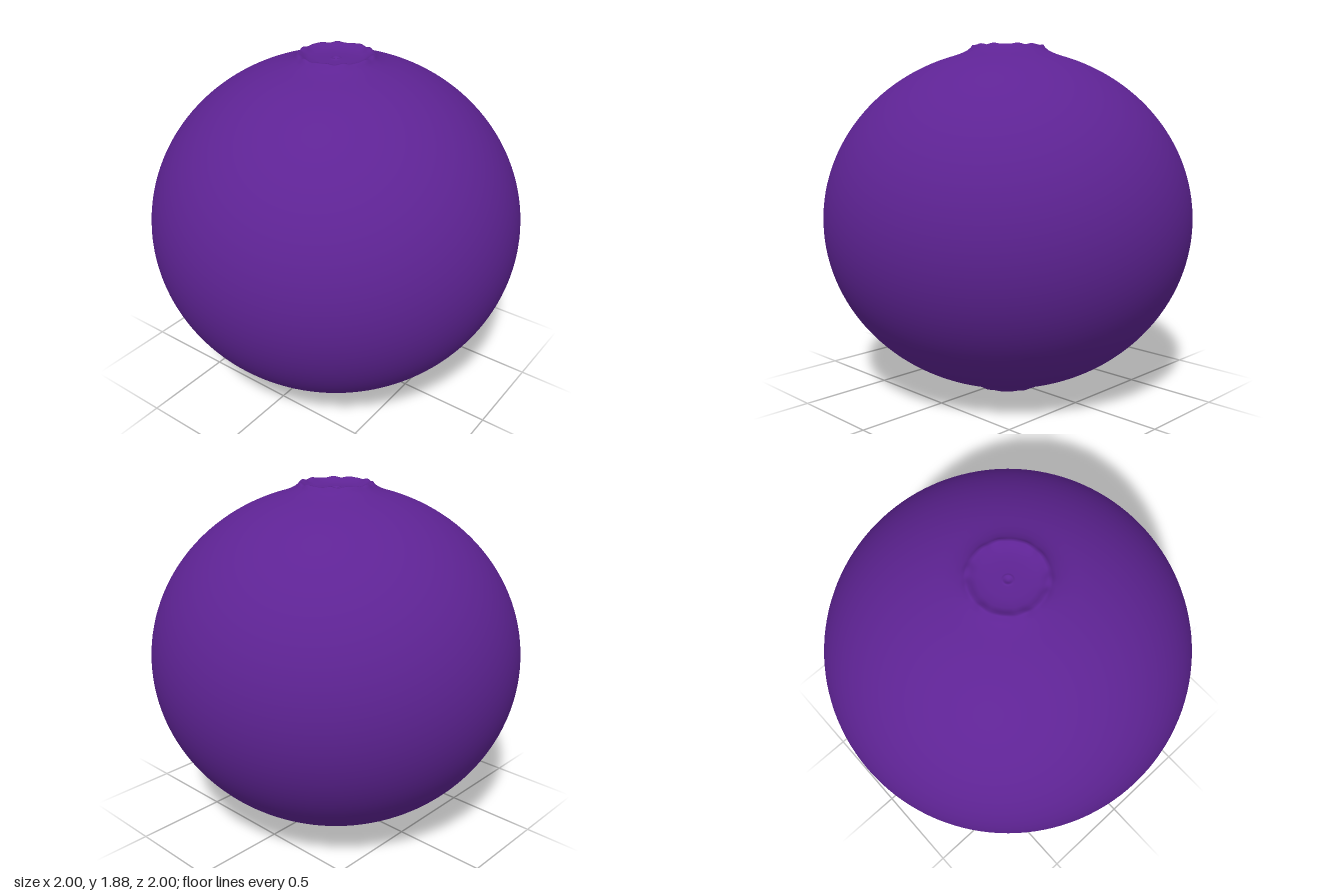
import * as THREE from 'three';
import { mergeVertices } from 'three/addons/utils/BufferGeometryUtils.js';

const MID = 0.94, HALF = 0.92;

// Dished ends, listed from the centre outwards as [radius, height]
const BOTTOM = [[0, 0.03], [0.02, 0.028], [0.035, 0.018], [0.05, 0.018], [0.065, 0.03], [0.1, 0.03],
  [0.14, 0.024], [0.165, 0.012], [0.18, 0.003], [0.192, 0.004], [0.202, 0.014], [0.22, 0.028], [0.25, 0.043]];
const TOP = [[0, 1.842], [0.012, 1.843], [0.02, 1.852], [0.027, 1.852], [0.034, 1.846], [0.1, 1.848],
  [0.14, 1.852], [0.165, 1.862], [0.18, 1.873], [0.192, 1.873], [0.202, 1.862], [0.22, 1.85], [0.25, 1.835]];

export function createModel() {
  const group = new THREE.Group();
  group.name = 'berry';

  // Profile from the bottom dish, round the flattened body, to the top dish
  const profile = BOTTOM.map(([r, y]) => new THREE.Vector2(r, y));
  const start = Math.acos(0.29), steps = 56;
  for (let i = 0; i <= steps; i++) {
    const a = -start + (2 * start * i) / steps;
    profile.push(new THREE.Vector2(Math.cos(a), MID + HALF * Math.sin(a)));
  }
  profile.push(...TOP.map(([r, y]) => new THREE.Vector2(r, y)).reverse());

  let body = new THREE.LatheGeometry(profile, 128);

  // Uneven lip around each dish
  const p = body.attributes.position;
  for (let i = 0; i < p.count; i++) {
    const x = p.getX(i), y = p.getY(i), z = p.getZ(i);
    const lip = Math.max(0, 1 - Math.abs(Math.hypot(x, z) - 0.186) / 0.025);
    const a = Math.atan2(z, x);
    const wave = 0.55 * Math.sin(11 * a) + 0.3 * Math.sin(17 * a + 1) + 0.15 * Math.sin(5 * a + 2);
    const size = y > MID ? 0.007 : 0.003;
    p.setY(i, y + lip * wave * size + (y > MID ? lip * 0.004 : 0));
  }

  // Weld the seam so the shading stays smooth
  body.deleteAttribute('uv');
  body.deleteAttribute('normal');
  body = mergeVertices(body, 1e-5);
  body.computeVertexNormals();

  const mesh = new THREE.Mesh(body, new THREE.MeshStandardMaterial({ color: 0x5e2394 }));
  mesh.name = 'berryBody';
  group.add(mesh);
  return group;
}
